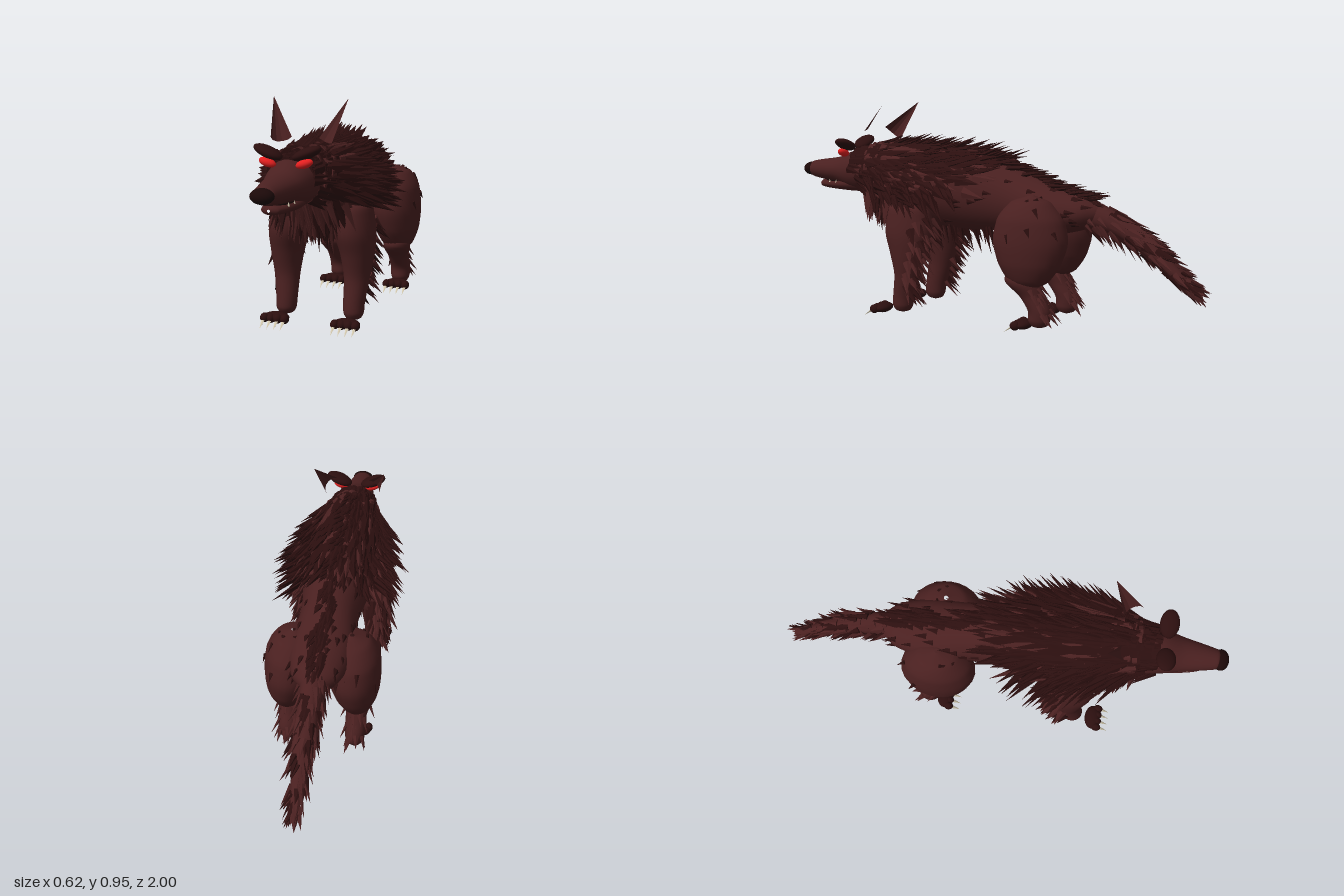
import * as THREE from 'three';
import { mergeGeometries } from 'three/addons/utils/BufferGeometryUtils.js';

const V = (x, y, z) => new THREE.Vector3(x, y, z);
const mat = (name, color) => Object.assign(new THREE.MeshStandardMaterial({ color }), { name });
const DEG = Math.PI / 180;

export function createModel() {
  const model = new THREE.Group();
  const fur = mat('brown fur', 0x4a2020);
  const dark = mat('dark fur', 0x2c0f0f);
  const black = mat('nose black', 0x1c0909);
  const red = mat('eye red', 0xe62020);
  const bone = mat('bone', 0xd2c8ae);

  let seed = 7;
  const rnd = (a = 0, b = 1) => {
    seed = (seed * 16807) % 2147483647;
    return a + (b - a) * (seed / 2147483647);
  };
  const add = (name, geo, material, parent = model) => {
    const mesh = new THREE.Mesh(geo, material);
    mesh.name = name;
    parent.add(mesh);
    return mesh;
  };
  const ball = (name, material, [x, y, z], [rx, ry, rz], tilt = 0, parent = model) => {
    const m = add(name, new THREE.SphereGeometry(1, 20, 14), material, parent);
    m.scale.set(rx, ry, rz);
    m.position.set(x, y, z);
    m.rotation.z = tilt;
    return m;
  };

  // Smooth limb through elliptical sections [x, y, z, rx, r2]; rings lie across 'z' (built rearmost first) or 'y' (topmost first)
  const limb = (rows, axis) => {
    const path = new THREE.CatmullRomCurve3(rows.map(r => V(r[0], r[1], r[2])));
    const size = new THREE.CatmullRomCurve3(rows.map(r => V(r[3], r[4], 0)));
    const out = a => (axis === 'z' ? V(Math.cos(a), Math.sin(a), 0) : V(Math.cos(a), 0, Math.sin(a)));
    const at = (t, a) => {
      const s = size.getPoint(t);
      const o = out(a);
      return path.getPoint(t).add(V(o.x * s.x, o.y * s.y, o.z * s.y));
    };
    const n = 24, steps = rows.length * 5, pos = [], idx = [];
    for (let i = 0; i <= steps; i++)
      for (let j = 0; j < n; j++) {
        pos.push(...at(i / steps, (j / n) * Math.PI * 2).toArray());
        if (i === steps) continue;
        const p = i * n + j, q = i * n + ((j + 1) % n);
        idx.push(p, q, p + n, q, q + n, p + n);
      }
    const geo = new THREE.BufferGeometry();
    geo.setAttribute('position', new THREE.Float32BufferAttribute(pos, 3));
    geo.setIndex(idx);
    geo.computeVertexNormals();
    return { geo, at, out };
  };

  // One flattened, pointed lock of hair
  const tuft = (p, dir, o, len, r) => {
    const d = dir.clone().normalize();
    const side = d.clone().cross(o).normalize();
    const g = new THREE.ConeGeometry(r, len, 5, 1).translate(0, len * 0.42, 0).scale(1, 1, 0.6).toNonIndexed();
    g.applyMatrix4(new THREE.Matrix4().makeBasis(side, d, side.clone().cross(d)).setPosition(p));
    g.computeVertexNormals();
    return g;
  };
  // Scatter locks over a limb between t0..t1 and angles a0..a1 (degrees); they stand out by spread, and lie flatter on top
  const coat = (name, material, part, count, [t0, t1], [a0, a1], lean, spread, [l0, l1], r) => {
    const list = [];
    for (let i = 0; i < count; i++) {
      const t = t0 + (t1 - t0) * ((i + rnd()) / count), a = rnd(a0, a1) * DEG, o = part.out(a);
      const d = o.clone().multiplyScalar(spread * (1 - 0.6 * Math.max(0, o.y))).add(lean);
      d.add(V(rnd(-0.1, 0.1), rnd(-0.1, 0.05), 0));
      list.push(tuft(part.at(t, a), d, o.clone().add(V(0.01, 0.02, 0)), rnd(l0, l1), r * rnd(0.75, 1.25)));
    }
    add(name, mergeGeometries(list), material);
  };

  // Torso and its coat
  const torso = limb([
    [0, 0.51, -0.53, 0.03, 0.03], [0, 0.51, -0.45, 0.1, 0.07], [0, 0.515, -0.3, 0.135, 0.11],
    [0, 0.55, -0.1, 0.125, 0.142], [0, 0.575, 0.1, 0.15, 0.172], [0, 0.59, 0.3, 0.18, 0.17],
    [0, 0.615, 0.45, 0.165, 0.15], [0, 0.64, 0.6, 0.115, 0.115], [0, 0.645, 0.66, 0.03, 0.03]], 'z');
  add('torso', torso.geo, fur);
  coat('frontMane', dark, torso, 170, [0.66, 0.88], [-25, 205], V(0, -0.08, -1), 0.55, [0.13, 0.21], 0.03);
  coat('frontManeUnderlayer', fur, torso, 85, [0.66, 0.88], [-35, 215], V(0, -0.15, -1), 0.5, [0.13, 0.2], 0.03);
  coat('rearMane', dark, torso, 110, [0.44, 0.66], [15, 165], V(0, -0.05, -1), 0.5, [0.12, 0.18], 0.027);
  coat('rearManeUnderlayer', fur, torso, 45, [0.44, 0.66], [0, 180], V(0, -0.1, -1), 0.4, [0.12, 0.17], 0.025);
  coat('leftRuff', dark, torso, 60, [0.52, 0.86], [-20, 40], V(0.1, -0.25, -0.8), 0.8, [0.14, 0.2], 0.03);
  coat('rightRuff', dark, torso, 60, [0.52, 0.86], [140, 200], V(-0.1, -0.25, -0.8), 0.8, [0.14, 0.2], 0.03);
  coat('collar', dark, torso, 55, [0.84, 0.94], [-40, 220], V(0, -0.12, -0.8), 0.7, [0.1, 0.15], 0.025);
  coat('spineRidge', dark, torso, 70, [0.42, 0.88], [78, 102], V(0, 0.04, -1), 0.95, [0.12, 0.17], 0.02);
  coat('rumpRidge', dark, torso, 55, [0.1, 0.44], [76, 104], V(0, -0.15, -1), 0.75, [0.08, 0.12], 0.018);
  coat('chestFur', dark, torso, 40, [0.62, 0.9], [205, 335], V(0, -0.7, -0.25), 0.4, [0.1, 0.17], 0.026);
  coat('throatFur', fur, torso, 60, [0.66, 0.95], [210, 330], V(0, -0.8, -0.1), 0.4, [0.12, 0.17], 0.027);
  coat('bellyFur', dark, torso, 40, [0.32, 0.66], [240, 300], V(0, -0.6, -0.3), 0.4, [0.08, 0.14], 0.015);
  coat('flankFlecks', dark, torso, 70, [0.1, 0.6], [-50, 230], V(0, 0, -1), 0.15, [0.04, 0.06], 0.013);

  // Tail
  const tail = limb([
    [0, 0.19, -0.97, 0.006, 0.006], [0, 0.285, -0.85, 0.03, 0.032], [0, 0.395, -0.72, 0.043, 0.046],
    [0, 0.475, -0.58, 0.047, 0.05], [0, 0.515, -0.42, 0.062, 0.062]], 'z');
  add('tail', tail.geo, fur);
  coat('tailFur', dark, tail, 60, [0.06, 0.95], [0, 360], V(0, -0.5, -1), 0.5, [0.06, 0.1], 0.019);
  coat('tailUnderlayer', fur, tail, 75, [0.06, 0.95], [0, 360], V(0, -0.5, -1), 0.5, [0.06, 0.1], 0.019);
  coat('tailFringe', dark, tail, 20, [0.4, 0.95], [230, 310], V(0, -0.4, -0.5), 0.4, [0.07, 0.11], 0.012);

  // Head: skull and muzzle, lower jaw, mouth, nose
  const head = limb([
    [0, 0.65, 0.5, 0.09, 0.09], [0, 0.645, 0.62, 0.11, 0.1], [0, 0.64, 0.71, 0.097, 0.092],
    [0, 0.637, 0.8, 0.075, 0.06], [0, 0.635, 0.9, 0.055, 0.046], [0, 0.635, 0.95, 0.042, 0.036],
    [0, 0.635, 0.965, 0.008, 0.008]], 'z');
  add('head', head.geo, fur);
  coat('crownFur', dark, head, 36, [0.14, 0.3], [25, 155], V(0, 0, -1), 0.45, [0.09, 0.13], 0.022);
  coat('cheekFur', dark, head, 40, [0.14, 0.3], [-60, 240], V(0, -0.2, -1), 0.6, [0.09, 0.13], 0.022);
  add('lowerJaw', limb([
    [0, 0.585, 0.62, 0.06, 0.045], [0, 0.575, 0.74, 0.07, 0.034], [0, 0.57, 0.84, 0.053, 0.024],
    [0, 0.57, 0.89, 0.036, 0.018], [0, 0.57, 0.905, 0.006, 0.006]], 'z').geo, fur);
  ball('mouth', black, [0, 0.59, 0.79], [0.056, 0.012, 0.09]);
  ball('nose', black, [0, 0.635, 0.962], [0.048, 0.031, 0.036]);

  // Ear: partly open cone whose hollow side faces inward
  const ear = (s) => {
    const base = V(0.085, 0.81, 0.563), axis = V(0.16, 0.955, 0.465).sub(base);
    const g = new THREE.ConeGeometry(0.046, axis.length(), 8, 1, true, -0.15 * Math.PI, 1.3 * Math.PI);
    g.translate(0, axis.length() / 2, 0).rotateY(0.1);
    g.applyQuaternion(new THREE.Quaternion().setFromUnitVectors(V(0, 1, 0), axis.clone().normalize()));
    g.translate(base.x, base.y, base.z).scale(s, 1, 1);
    if (s > 0) g.setIndex([...g.index.array].reverse());
    const flat = g.toNonIndexed();
    flat.computeVertexNormals();
    return flat;
  };

  for (const s of [1, -1]) {
    const side = s > 0 ? 'left' : 'right';
    add(side + 'Ear', ear(s), fur);
    ball(side + 'Brow', dark, [s * 0.08, 0.764, 0.718], [0.062, 0.022, 0.042], s * 0.38);
    ball(side + 'Eye', red, [s * 0.076, 0.726, 0.733], [0.036, 0.018, 0.021], s * 0.3);
    // Teeth along the lip
    for (const [x, z, h] of [[0.05, 0.83, 0.018], [0.057, 0.79, 0.014]]) {
      const tooth = add(side + 'Tooth', new THREE.ConeGeometry(0.005, h, 6), bone);
      tooth.position.set(s * x, 0.588, z);
    }

    // Front leg
    const foreleg = limb([
      [s * 0.14, 0.55, 0.34, 0.02, 0.02], [s * 0.14, 0.5, 0.34, 0.075, 0.1], [s * 0.145, 0.4, 0.34, 0.085, 0.115],
      [s * 0.155, 0.3, 0.34, 0.07, 0.088], [s * 0.155, 0.2, 0.348, 0.054, 0.06], [s * 0.15, 0.1, 0.37, 0.045, 0.05],
      [s * 0.15, 0.06, 0.375, 0.043, 0.048], [s * 0.15, 0.035, 0.375, 0.031, 0.035], [s * 0.15, 0.025, 0.375, 0.006, 0.006]], 'y');
    add(side + 'FrontLeg', foreleg.geo, fur);
    const back = s > 0 ? [255, 350] : [190, 285];
    coat(side + 'FrontLegFringe', dark, foreleg, 22, [0.18, 0.62], back, V(0, -0.8, -0.3), 0.6, [0.06, 0.1], 0.018);
    coat(side + 'FrontLegLocks', fur, foreleg, 30, [0.18, 0.62], back, V(0, -0.8, -0.2), 0.6, [0.06, 0.1], 0.018);

    // Hind leg: round thigh and bent shank
    const thigh = limb([
      [s * 0.125, 0.59, -0.25, 0.01, 0.01], [s * 0.128, 0.565, -0.25, 0.075, 0.085], [s * 0.132, 0.49, -0.25, 0.113, 0.15],
      [s * 0.137, 0.4, -0.25, 0.116, 0.168], [s * 0.147, 0.3, -0.25, 0.098, 0.142], [s * 0.153, 0.225, -0.25, 0.064, 0.09],
      [s * 0.155, 0.185, -0.25, 0.01, 0.01]], 'y');
    add(side + 'Thigh', thigh.geo, fur);
    coat(side + 'ThighFlecks', dark, thigh, 16, [0.05, 0.5], [0, 360], V(0, -0.7, -0.3), 0.3, [0.04, 0.06], 0.011);
    const shank = limb([
      [s * 0.16, 0.28, -0.2, 0.03, 0.03], [s * 0.155, 0.22, -0.22, 0.06, 0.075], [s * 0.15, 0.16, -0.265, 0.046, 0.055],
      [s * 0.15, 0.1, -0.3, 0.045, 0.05], [s * 0.15, 0.06, -0.3, 0.043, 0.049], [s * 0.15, 0.035, -0.3, 0.031, 0.035],
      [s * 0.15, 0.025, -0.3, 0.006, 0.006]], 'y');
    add(side + 'Shank', shank.geo, fur);
    coat(side + 'ShankFringe', fur, shank, 20, [0.15, 0.6], [200, 340], V(0, -0.7, -0.3), 0.4, [0.05, 0.08], 0.014);

    // Paws with four toes and claws
    for (const [name, z] of [['FrontPaw', 0.475], ['HindPaw', -0.23]]) {
      const paw = new THREE.Group();
      paw.name = side + name;
      paw.position.set(s * 0.155, 0, z);
      model.add(paw);
      ball('pad', dark, [0, 0.036, 0], [0.056, 0.022, 0.036], 0, paw);
      for (let i = 0; i < 4; i++) {
        const x = (i - 1.5) * 0.03;
        ball('toe', dark, [x, 0.035, 0.022], [0.018, 0.02, 0.022], 0, paw);
        add('claw', tuft(V(x, 0.027, 0.038), V(0, -0.55, 0.8), V(0, 1, 0), 0.05, 0.009), bone, paw);
      }
    }
  }
  return model;
}
